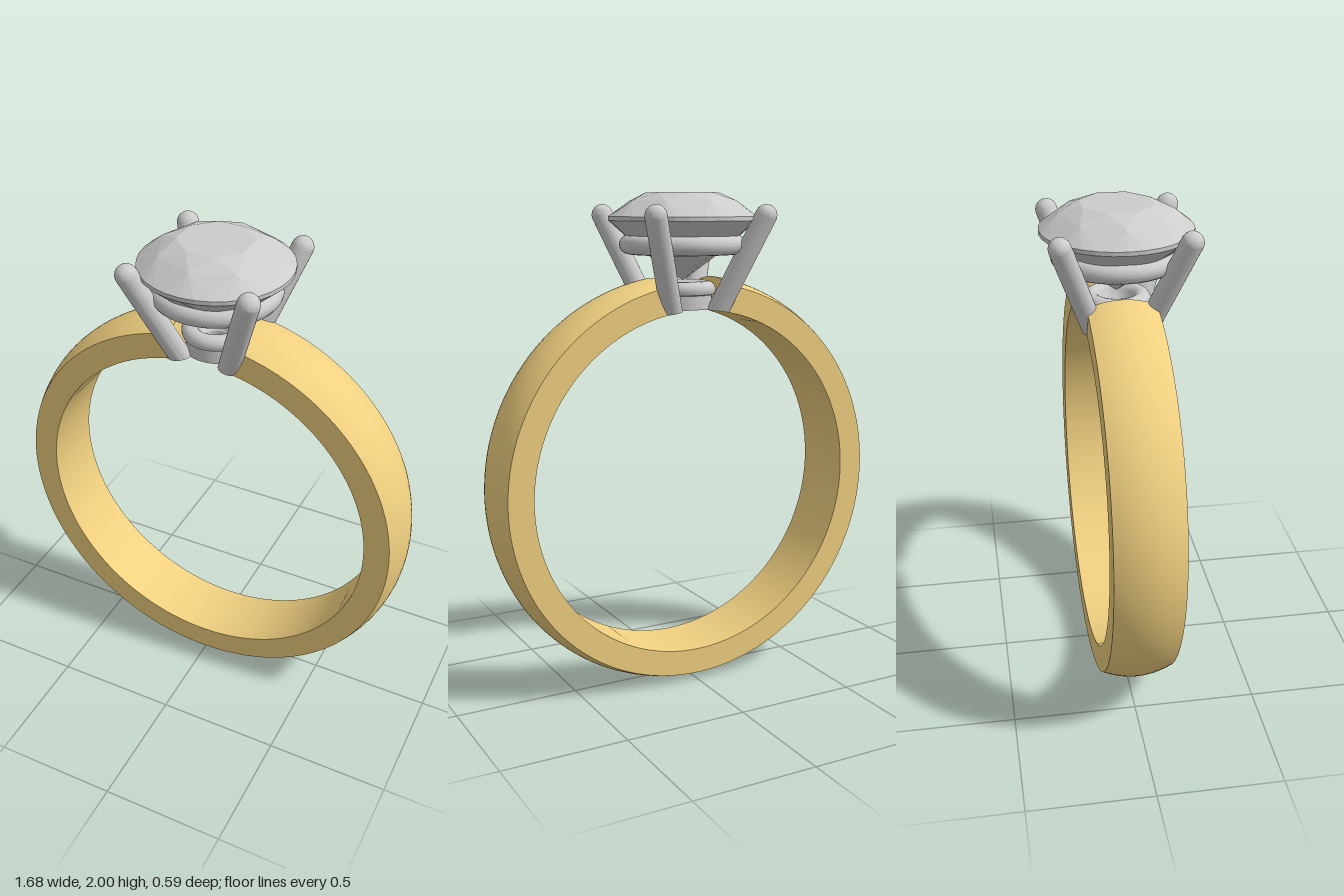
import * as THREE from 'three';
import { toCreasedNormals } from 'three/addons/utils/BufferGeometryUtils.js';
import { ConvexGeometry } from 'three/addons/geometries/ConvexGeometry.js';

const CENTER_Y = 0.84, INNER_R = 0.705;
const gold = new THREE.MeshStandardMaterial({ color: 0xf0d080 });
const goldCap = new THREE.MeshStandardMaterial({ color: 0xf0d080, side: THREE.DoubleSide });
const grey = new THREE.MeshStandardMaterial({ color: 0xcccccc });

function addMesh(parent, name, geometry, material) {
  const mesh = new THREE.Mesh(geometry, material);
  mesh.name = name;
  parent.add(mesh);
  return mesh;
}

// Height of the finger hole's upper surface at x
const holeTop = (x) => CENTER_Y + Math.sqrt(INNER_R ** 2 - x * x);

// Slide every vertex lying inside the finger hole along a direction onto its surface
function trimToHole(geometry, dir) {
  const pos = geometry.attributes.position;
  const v = new THREE.Vector3();
  for (let i = 0; i < pos.count; i++) {
    v.fromBufferAttribute(pos, i);
    if (v.y >= holeTop(v.x)) continue;
    for (let k = 0; k < 4; k++) v.addScaledVector(dir, (holeTop(v.x) - v.y) / dir.y);
    pos.setXYZ(i, v.x, v.y, v.z);
  }
  return toCreasedNormals(geometry, 0.6);
}

// Domed band, open at the top where the setting sits
function makeBand() {
  const band = new THREE.Group();
  band.name = 'band';
  const half = 0.135, gap = 0.165;
  const profile = [new THREE.Vector2(INNER_R, -half)];
  for (let i = 0; i <= 12; i++) {
    const t = (i / 12) * 2 - 1;
    profile.push(new THREE.Vector2(0.84 - 0.03 * t * t, t * half));
  }
  profile.push(new THREE.Vector2(INNER_R, half));
  const loop = [...profile, profile[0].clone()];
  const hoop = new THREE.LatheGeometry(loop, 128, gap, Math.PI * 2 - 2 * gap);
  addMesh(band, 'hoop', toCreasedNormals(hoop, 0.25), gold);
  for (const phi of [gap, -gap]) {
    const cap = new THREE.ShapeGeometry(new THREE.Shape(profile));
    cap.rotateY(phi - Math.PI / 2);
    addMesh(band, 'bandEnd', cap, goldCap);
  }
  band.rotation.x = -Math.PI / 2;
  band.position.y = CENTER_Y;
  return band;
}

// Leaning round prong with a domed tip
function makeProng(sx, sz) {
  const bottom = new THREE.Vector3(0.072 * sx, 1.45, 0.072 * sz);
  const tip = new THREE.Vector3(0.24 * sx, 1.912, 0.24 * sz);
  const dir = tip.clone().sub(bottom);
  const geometry = new THREE.CapsuleGeometry(0.043, dir.length(), 10, 28);
  dir.normalize();
  geometry.applyQuaternion(new THREE.Quaternion().setFromUnitVectors(new THREE.Vector3(0, 1, 0), dir));
  const mid = bottom.add(tip).multiplyScalar(0.5);
  geometry.translate(mid.x, mid.y, mid.z);
  return trimToHole(geometry, dir);
}

// Collar at the foot of the setting, pierced in the middle
function makeCollar() {
  const points = [[0.045, 1.5], [0.118, 1.5], [0.118, 1.6]].map((p) => new THREE.Vector2(...p));
  for (let i = 0; i <= 10; i++) {
    const a = -0.6 + (i / 10) * (Math.PI + 0.6);
    points.push(new THREE.Vector2(0.1 + 0.033 * Math.cos(a), 1.622 + 0.033 * Math.sin(a)));
  }
  points.push(new THREE.Vector2(0.045, 1.59), new THREE.Vector2(0.045, 1.5));
  return trimToHole(new THREE.LatheGeometry(points, 48), new THREE.Vector3(0, 1, 0));
}

// Brilliant-cut stone as the hull of its facet corners
function makeStone() {
  const points = [new THREE.Vector3(0, 1.655, 0)];
  const ring = (count, r, y, offset = 0) => {
    for (let i = 0; i < count; i++) {
      const a = ((i + offset) / count) * Math.PI * 2;
      points.push(new THREE.Vector3(r * Math.cos(a), y, r * Math.sin(a)));
    }
  };
  ring(8, 0.145, 2.0, 0.5);
  ring(8, 0.222, 1.968);
  ring(32, 0.295, 1.908);
  ring(32, 0.295, 1.892);
  ring(8, 0.16, 1.771, 0.5);
  return new ConvexGeometry(points);
}

export function createModel() {
  const model = new THREE.Group();
  model.name = 'ring';
  model.add(makeBand());

  const setting = new THREE.Group();
  setting.name = 'setting';
  model.add(setting);
  for (const sx of [1, -1]) {
    for (const sz of [1, -1]) addMesh(setting, 'prong', makeProng(sx, sz), grey);
  }
  addMesh(setting, 'collar', makeCollar(), grey);

  // Round gallery wire under the stone
  const gallery = new THREE.TorusGeometry(0.215, 0.038, 16, 64);
  gallery.rotateX(Math.PI / 2);
  gallery.translate(0, 1.798, 0);
  addMesh(setting, 'galleryRing', gallery, grey);

  addMesh(model, 'stone', makeStone(), grey);
  return model;
}
